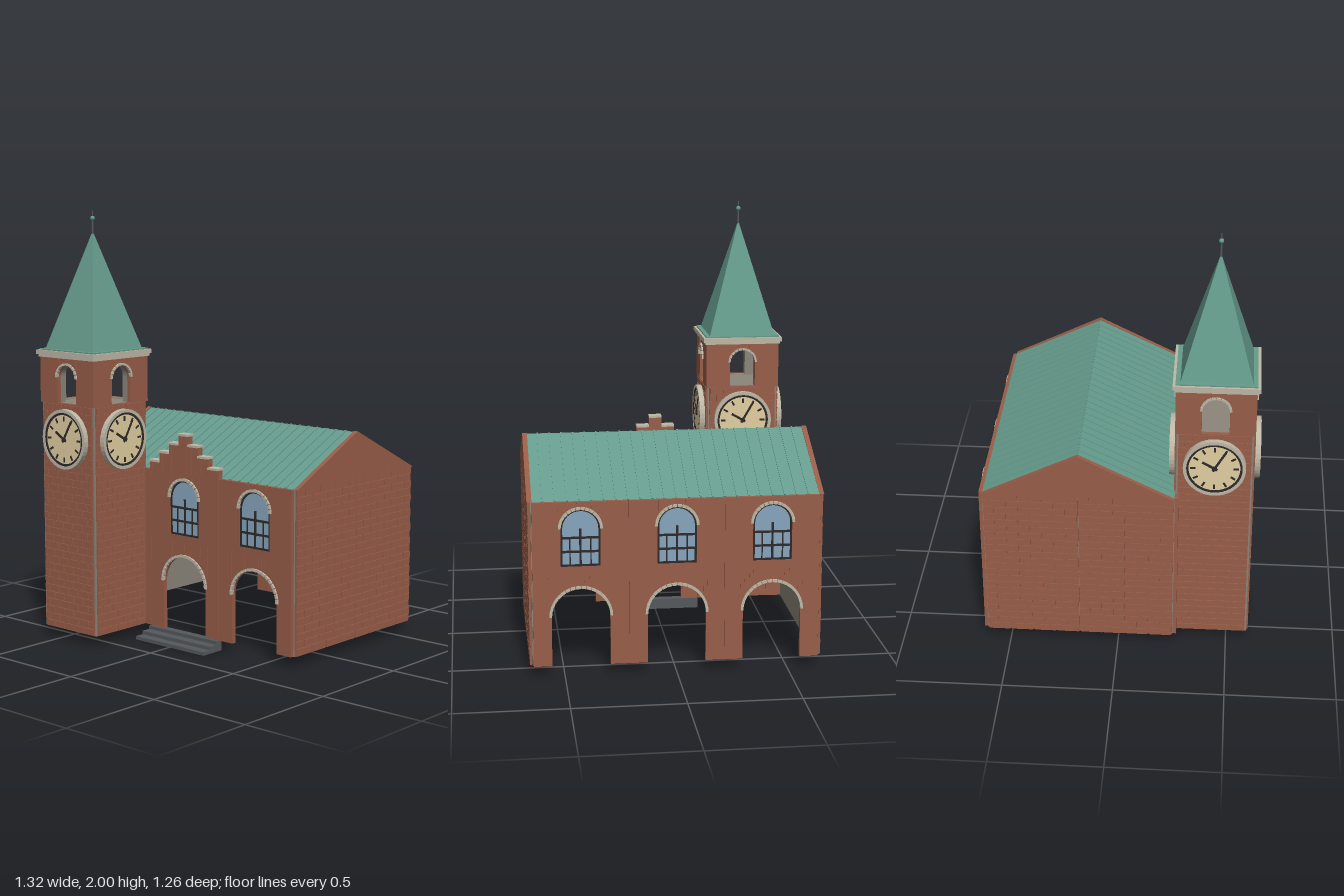
import * as THREE from 'three';
import { mergeGeometries } from 'three/addons/utils/BufferGeometryUtils.js';

const mat = (name, color) => {
  const m = new THREE.MeshStandardMaterial({ color });
  m.name = name;
  return m;
};

export function createModel() {
  const brick = mat('brick', 0x985d48), lining = mat('lining', 0x8b857a);
  const stone = mat('stone', 0xbeb7a6), copper = mat('copper', 0x659b8c);
  const glass = mat('glass', 0x86a6bd), dark = mat('dark', 0x2f2a28);
  const dial = mat('dial', 0xe2cfa2), slate = mat('slate', 0x55595c);

  const root = new THREE.Group();
  root.name = 'clockTowerHall';
  const group = (name, parent = root, x = 0, y = 0, z = 0, ry = 0) => {
    const g = new THREE.Group();
    g.name = name;
    g.position.set(x, y, z);
    g.rotation.y = ry;
    parent.add(g);
    return g;
  };
  const add = (parent, name, geo, m) => {
    const mesh = new THREE.Mesh(geo, m);
    mesh.name = name;
    parent.add(mesh);
  };
  // box given by its minimum and maximum corners
  const span = (x0, x1, y0, y1, z0, z1) =>
    new THREE.BoxGeometry(x1 - x0, y1 - y0, z1 - z0)
      .translate((x0 + x1) / 2, (y0 + y1) / 2, (z0 + z1) / 2);
  const extrude = (shape, depth, z = 0) =>
    new THREE.ExtrudeGeometry(shape, { depth, bevelEnabled: false, curveSegments: 20 }).translate(0, 0, z);
  const archShape = (r, y0, spring, Type = THREE.Shape) => {
    const s = new Type();
    s.moveTo(-r, y0);
    s.lineTo(r, y0);
    s.lineTo(r, spring);
    s.absarc(0, spring, r, 0, Math.PI, false);
    s.lineTo(-r, y0);
    return s;
  };
  const rect = (x0, x1, y0, y1) => {
    const s = new THREE.Shape();
    s.moveTo(x0, y0);
    s.lineTo(x1, y0);
    s.lineTo(x1, y1);
    s.lineTo(x0, y1);
    s.closePath();
    return s;
  };
  // half ring of separate wedge stones
  function voussoirs(parent, r0, r1, spring, count, depth, z) {
    const list = [], step = Math.PI / count, gap = 0.0012 / r0;
    for (let i = 0; i < count; i++) {
      const a = i * step + gap, b = (i + 1) * step - gap;
      const s = new THREE.Shape();
      for (const [r, t] of [[r0, a], [r1, a], [r1, b], [r0, b]]) {
        const x = r * Math.cos(t), y = spring + r * Math.sin(t);
        if (s.curves.length || r === r1 || t === b) s.lineTo(x, y);
        else s.moveTo(x, y);
      }
      s.closePath();
      list.push(extrude(s, depth, z));
    }
    add(parent, 'archStones', mergeGeometries(list), stone);
  }

  // running-bond brick relief facing +z, with grooves gx and gy wide
  function brickPanel(parent, w, y0, y1, z, count, gx, gy) {
    add(parent, 'brickBed', span(-w / 2, w / 2, y0, y1, z, z + 0.007), brick);
    const rows = Math.round((y1 - y0) / 0.034), h = (y1 - y0) / rows, bw = w / count, list = [];
    for (let r = 0; r < rows; r++) {
      for (let i = 0; i <= count; i++) {
        const c = -w / 2 + (i + (r % 2 ? 0 : 0.5)) * bw;
        const a = Math.max(-w / 2, c - (bw - gx) / 2), b = Math.min(w / 2, c + (bw - gx) / 2);
        if (b - a > 0.005) list.push(span(a, b, y0 + r * h + gy / 2, y0 + (r + 1) * h - gy / 2, z + 0.004, z + 0.012));
      }
    }
    add(parent, 'bricks', mergeGeometries(list), brick);
  }

  // upright ribs following an arch
  function soldierCourse(parent, r, spring, top, z) {
    const list = [];
    for (let i = -7; i <= 7; i++) {
      const x = i * r / 6.5, d = r + 0.016;
      const y = spring + Math.sqrt(Math.max(0, d * d - x * x)) + 0.004;
      if (y < top) list.push(span(x - 0.003, x + 0.003, y, top, z, z + 0.002));
    }
    add(parent, 'soldierCourse', mergeGeometries(list), brick);
  }

  // one wall bay: open arch below, arched window above
  function bay(parent, x) {
    const g = group('wallBay', parent, x), H = 0.2125;
    const lower = new THREE.Shape();
    lower.moveTo(-H, 0.05);
    lower.lineTo(-0.13, 0.05);
    lower.lineTo(-0.13, 0.278);
    lower.absarc(0, 0.278, 0.13, Math.PI, 0, true);
    lower.lineTo(0.13, 0.05);
    lower.lineTo(H, 0.05);
    lower.lineTo(H, 0.48);
    lower.lineTo(-H, 0.48);
    lower.closePath();
    add(g, 'archWall', extrude(lower, 0.02), brick);
    voussoirs(g, 0.129, 0.141, 0.278, 18, 0.015, 0.014);
    soldierCourse(g, 0.13, 0.278, 0.475, 0.019);

    const upper = rect(-H, H, 0.48, 0.8);
    upper.holes.push(archShape(0.0875, 0.508, 0.68, THREE.Path));
    add(g, 'windowWall', extrude(upper, 0.02), brick);
    voussoirs(g, 0.0865, 0.099, 0.68, 14, 0.015, 0.014);
    add(g, 'glass', extrude(archShape(0.0875, 0.508, 0.68), 0.006, 0.008), glass);
    const frame = archShape(0.0875, 0.508, 0.68);
    frame.holes.push(archShape(0.079, 0.517, 0.68, THREE.Path));
    const bars = [span(-0.005, 0.005, 0.51, 0.68, 0.006, 0.018)];
    for (const y of [0.575, 0.638]) bars.push(span(-0.085, 0.085, y - 0.005, y + 0.005, 0.006, 0.018));
    for (const s of [-1, 1]) bars.push(span(s * 0.046 - 0.003, s * 0.046 + 0.003, 0.51, 0.638, 0.006, 0.017));
    add(g, 'windowFrame', extrude(frame, 0.012, 0.006), dark);
    add(g, 'windowBars', mergeGeometries(bars), dark);
    soldierCourse(g, 0.0875, 0.68, 0.797, 0.019);
  }

  // long walls, three bays each
  const front = group('frontWall', root, 0, 0, 0.25);
  const back = group('backWall', root, 0, 0, -0.603, Math.PI);
  for (const x of [-0.426, 0, 0.426]) {
    bay(front, x);
    bay(back, x);
  }

  // end walls with gables
  for (const s of [-1, 1]) {
    const g = group('gableWall', root, s * 0.628, 0, -0.1765, s * Math.PI / 2);
    add(g, 'lining', span(-0.43, 0.43, 0.05, 0.8, 0, 0.014), lining);
    for (const p of [-1, 1]) brickPanel(group('brickPanel', g, p * 0.214), 0.426, 0.05, 0.8, 0.015, 4, 0.01, 0.002);
    const tri = new THREE.Shape();
    tri.moveTo(-0.43, 0.8);
    tri.lineTo(0.43, 0.8);
    tri.lineTo(0, 1.013);
    tri.closePath();
    add(g, 'gable', extrude(tri, 0.022, 0.008), brick);
  }

  // seamed roof slopes
  const run = 0.43, rise = 0.208, slope = Math.atan2(rise, run), len = Math.hypot(run, rise);
  for (const s of [-1, 1]) {
    const g = group('roofSlope', root, 0, 1.01, -0.1765, s > 0 ? 0 : Math.PI);
    const t = group('slopePlane', g);
    t.rotation.x = slope;
    add(t, 'roofSheet', span(-0.638, 0.638, -0.012, -0.002, -0.001, len), copper);
    const ribs = [];
    for (let i = -11; i <= 11; i++) ribs.push(span(i * 0.0535 - 0.004, i * 0.0535 + 0.004, -0.005, 0.002, 0, len));
    add(t, 'roofSeams', mergeGeometries(ribs), copper);
  }

  // stepped gable over the entrance
  const stepped = group('steppedGable');
  for (let i = -3; i <= 3; i++) {
    const x = i * 0.061, top = 0.986 - 0.046 * Math.abs(i), h = 0.0305;
    add(stepped, 'gableStep', span(x - h, x + h, 0.79, top - 0.01, 0.245, 0.274), brick);
    add(stepped, 'coping', span(x - h, x + h, top - 0.01, top, 0.238, 0.283), stone);
    for (const d of [-0.015, 0.015]) add(stepped, 'stepRib', span(x + d - 0.003, x + d + 0.003, 0.805, top - 0.012, 0.273, 0.276), brick);
  }

  // entrance steps
  [0.376, 0.333, 0.288].forEach((z, i) =>
    add(root, 'entranceStep', span(-0.213, 0.213, i * 0.0165, (i + 1) * 0.0165, 0.25, z), slate));

  // clock with raised rim, ticks and hands, facing +z
  function clock(parent) {
    const g = group('clock', parent, 0, 0.957, 0.176);
    const disc = (r, d) => new THREE.CylinderGeometry(r, r, d, 40).rotateX(Math.PI / 2);
    add(g, 'dial', disc(0.13, 0.02).translate(0, 0, 0.01), dial);
    const ring = (r0, r1, d) => {
      const s = new THREE.Shape().absarc(0, 0, r1, 0, Math.PI * 2, false);
      s.holes.push(new THREE.Path().absarc(0, 0, r0, 0, Math.PI * 2, true));
      return extrude(s, d);
    };
    add(g, 'clockRim', ring(0.124, 0.139, 0.026), stone);
    add(g, 'innerRing', ring(0.114, 0.124, 0.024), dark);
    const hand = (w, a, b, angle, z) => span(-w, w, a, b, z, z + 0.003).rotateZ(-angle);
    const marks = [];
    for (let i = 0; i < 12; i++) marks.push(hand(0.0045, 0.084, 0.107, i * Math.PI / 6, 0.0195));
    marks.push(hand(0.0055, -0.015, 0.062, -Math.PI / 3, 0.021));
    marks.push(hand(0.005, -0.015, 0.098, Math.PI / 6, 0.0225), disc(0.011, 0.008).translate(0, 0, 0.023));
    add(g, 'ticksAndHands', mergeGeometries(marks), dark);
  }

  // tower: four identical sides
  const tower = group('tower', root, -0.426, 0, 0.425);
  for (let i = 0; i < 4; i++) {
    const g = group('towerSide', tower, 0, 0, 0, i * Math.PI / 2);
    add(g, 'towerLining', span(-0.169, 0.169, 0.05, 1.116, 0.155, 0.169), lining);
    brickPanel(g, 0.322, 0.05, 1.116, 0.165, 5, 0.008, 0.006);
    const wall = rect(-0.176, 0.176, 1.116, 1.335);
    wall.holes.push(archShape(0.061, 1.12, 1.238, THREE.Path));
    add(g, 'belfryWall', extrude(wall, 0.02, 0.156), brick);
    const inner = rect(-0.156, 0.156, 1.116, 1.335);
    inner.holes.push(archShape(0.061, 1.12, 1.238, THREE.Path));
    add(g, 'belfryLining', extrude(inner, 0.03, 0.126), lining);
    voussoirs(g, 0.06, 0.07, 1.238, 10, 0.016, 0.168);
    soldierCourse(g, 0.061, 1.238, 1.33, 0.175);
    clock(g);
  }
  add(tower, 'belfryFloor', span(-0.16, 0.16, 1.106, 1.118, -0.16, 0.16), lining);
  add(tower, 'corniceLower', span(-0.182, 0.182, 1.328, 1.342, -0.182, 0.182), stone);
  add(tower, 'cornice', span(-0.19, 0.19, 1.34, 1.36, -0.19, 0.19), stone);
  add(tower, 'spireBase', span(-0.178, 0.178, 1.355, 1.366, -0.178, 0.178), copper);
  const spire = new THREE.ConeGeometry(0.158 * Math.SQRT2, 0.543, 4).rotateY(Math.PI / 4).translate(0, 1.6355, 0).toNonIndexed();
  spire.computeVertexNormals();
  add(tower, 'spire', spire, copper);
  add(tower, 'finialRod', new THREE.CylinderGeometry(0.003, 0.005, 0.12, 10).translate(0, 1.94, 0), slate);
  add(tower, 'finialBall', new THREE.SphereGeometry(0.011, 14, 10).translate(0, 1.965, 0), copper);
  return root;
}
